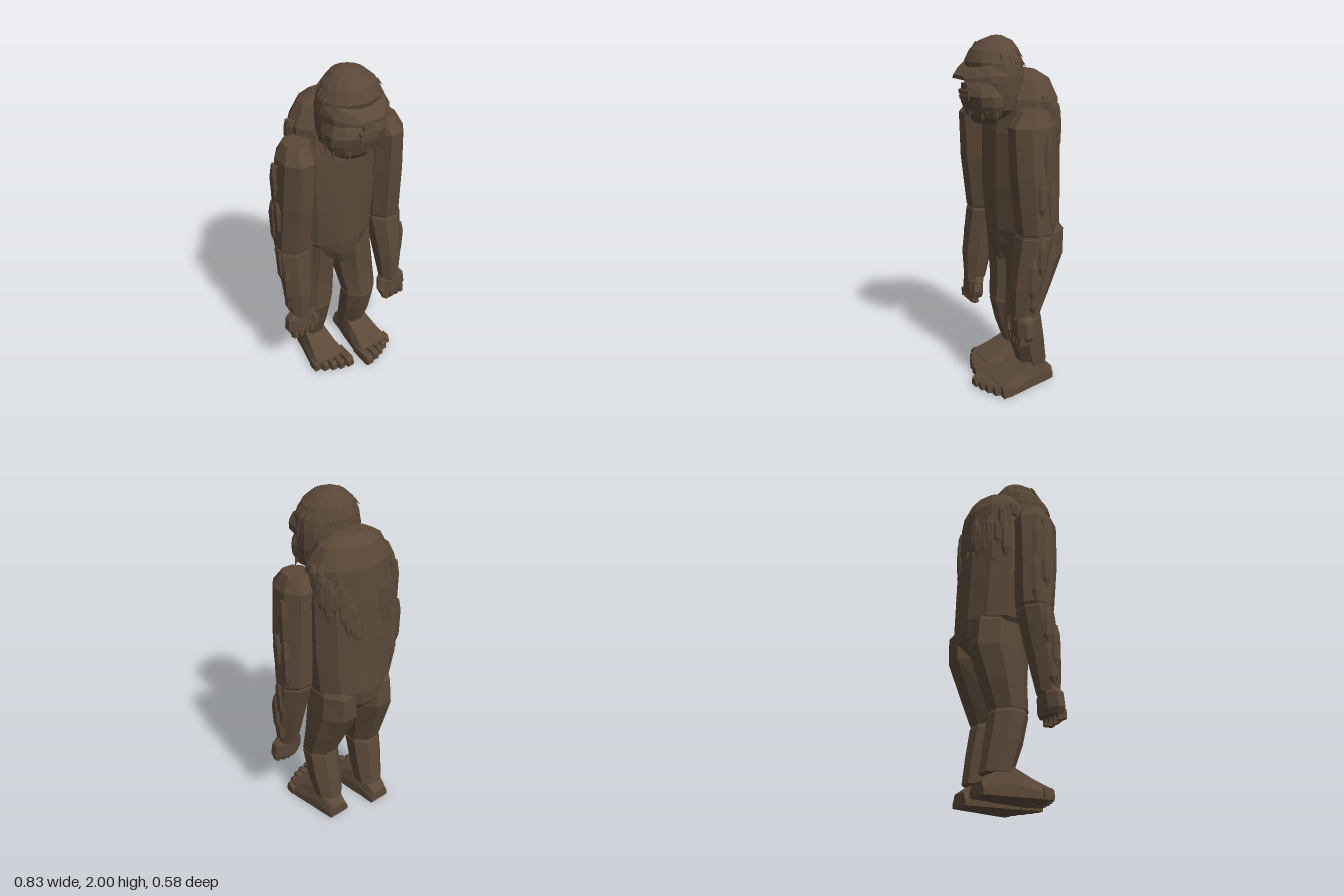
import * as THREE from 'three';

const fur = new THREE.MeshStandardMaterial({ color: 0x5a4838 });
fur.name = 'brown fur';

// Flat-faced skin over a list of closed point rings, capped at both ends
function loft(rings) {
  const tris = [], n = rings[0].length;
  const mid = r => r.reduce((a, p) => a.add(p), new THREE.Vector3()).divideScalar(n);
  const first = mid(rings[0]), last = mid(rings[rings.length - 1]);
  for (let j = 0; j < n; j++) {
    const k = (j + 1) % n;
    for (let i = 0; i < rings.length - 1; i++) {
      const a = rings[i], b = rings[i + 1];
      tris.push([a[j], b[j], b[k]], [a[j], b[k], a[k]]);
    }
    tris.push([first, rings[0][j], rings[0][k]]);
    tris.push([last, rings[rings.length - 1][k], rings[rings.length - 1][j]]);
  }
  // Turn the faces outward whichever way the rings run
  const volume = tris.reduce((v, [a, b, c]) => v + a.dot(b.clone().cross(c)), 0);
  const pts = tris.flatMap(([a, b, c]) => (volume < 0 ? [a, c, b] : [a, b, c]));
  const g = new THREE.BufferGeometry().setFromPoints(pts);
  g.computeVertexNormals();
  return g;
}

// Upright limb from sections [y, centre x, centre z, half width, half depth]
function limb(sections, sides, s = 1, dz = () => 0) {
  const k = 1 / Math.cos(Math.PI / sides);
  return loft(sections.map(([y, cx, cz, rx, rz]) => Array.from({ length: sides }, (_, j) => {
    const a = ((j + 0.5) / sides) * Math.PI * 2;
    return new THREE.Vector3(s * (cx + k * rx * Math.sin(a)), y, cz + k * rz * Math.cos(a) + dz(y));
  })));
}

// Forward-running block from sections [z, centre x, bottom half width, top half width, bottom y, top y]
function block(sections, s = 1) {
  return loft(sections.map(([z, cx, wb, wt, y0, y1]) => [
    [-wb, y0], [wb, y0], [wb, y0 + (y1 - y0) * 0.4], [wt, y1], [-wt, y1], [-wb, y0 + (y1 - y0) * 0.4],
  ].map(([x, y]) => new THREE.Vector3(s * (cx + x), y, z))));
}

let seed = 7;
const rand = (a, b) => {
  seed = (seed * 16807) % 2147483647;
  return a + (b - a) * (seed / 2147483647);
};

export function createModel() {
  const model = new THREE.Group();
  const add = (name, geometry, parent = model) => {
    const m = new THREE.Mesh(geometry, fur);
    m.name = name;
    parent.add(m);
    return m;
  };
  const group = (name, parent = model) => {
    const g = new THREE.Group();
    g.name = name;
    parent.add(g);
    return g;
  };

  // Hunched trunk tapering to the crotch
  add('torso', limb([
    [1.82, 0, -0.085, 0.1, 0.06], [1.78, 0, -0.09, 0.175, 0.12], [1.68, 0, -0.08, 0.235, 0.172],
    [1.5, 0, -0.075, 0.255, 0.19], [1.2, 0, -0.078, 0.255, 0.197], [0.95, 0, -0.09, 0.24, 0.197],
    [0.86, 0, -0.09, 0.18, 0.185], [0.75, 0, -0.06, 0.04, 0.12],
  ], 12));
  add('neck', limb([[1.6, 0, -0.03, 0.15, 0.12], [1.78, 0, 0.02, 0.13, 0.1]], 10));

  // Head
  add('skull', limb([
    [1.58, 0, 0.11, 0.11, 0.08], [1.63, 0, 0.09, 0.165, 0.115], [1.71, 0, 0.08, 0.18, 0.13],
    [1.8, 0, 0.08, 0.178, 0.14], [1.87, 0, 0.09, 0.167, 0.147], [1.93, 0, 0.085, 0.135, 0.125],
    [1.975, 0, 0.075, 0.085, 0.085], [2.0, 0, 0.07, 0.025, 0.025],
  ], 16));
  add('brow', block([
    [0.1, 0, 0.183, 0.17, 1.77, 1.86], [0.2, 0, 0.165, 0.135, 1.775, 1.86],
    [0.25, 0, 0.125, 0.1, 1.78, 1.835], [0.295, 0, 0.07, 0.06, 1.785, 1.805],
  ]));
  add('muzzle', limb([
    [1.55, 0, 0.15, 0.085, 0.045], [1.59, 0, 0.15, 0.14, 0.08], [1.65, 0, 0.15, 0.168, 0.1],
    [1.7, 0, 0.15, 0.168, 0.115], [1.74, 0, 0.14, 0.15, 0.112], [1.785, 0, 0.12, 0.13, 0.1],
  ], 12));
  const box = (name, w, h, d, y, z) => add(name, new THREE.BoxGeometry(w, h, d)).position.set(0, y, z);
  box('nose', 0.065, 0.03, 0.05, 1.748, 0.24);
  box('upperLip', 0.11, 0.02, 0.03, 1.718, 0.256);
  box('lowerLip', 0.1, 0.018, 0.03, 1.688, 0.254);

  // Limbs; the left side steps forward a little
  for (const s of [1, -1]) {
    const side = s > 0 ? 'left' : 'right';
    const swing = y => (s > 0 ? 0 : -0.035 * Math.max(0, 1.4 - y));
    const back = s > 0 ? 0 : -0.06;

    add(side + 'UpperArm', limb([
      [1.64, 0.27, 0.01, 0.065, 0.07], [1.56, 0.28, 0.02, 0.092, 0.122], [1.3, 0.29, 0.017, 0.1, 0.116],
      [1.0, 0.302, 0.005, 0.098, 0.1], [0.95, 0.303, 0.01, 0.08, 0.08],
    ], 8, s, swing));
    add(side + 'Forearm', limb([
      [1.02, 0.302, 0.008, 0.08, 0.08], [0.97, 0.302, 0.01, 0.1, 0.098],
      [0.7, 0.312, 0.065, 0.08, 0.085], [0.52, 0.313, 0.09, 0.058, 0.06],
    ], 8, s, swing));

    // Hand with four curled fingers and a thumb
    const hand = group(side + 'Hand');
    add('palm', limb([
      [0.54, 0.315, 0.09, 0.06, 0.045], [0.51, 0.32, 0.095, 0.088, 0.05],
      [0.43, 0.325, 0.1, 0.092, 0.05], [0.4, 0.325, 0.1, 0.075, 0.042],
    ], 8, s, swing), hand);
    for (let i = 0; i < 4; i++) {
      const x = 0.268 + i * 0.037, end = 0.35 + Math.abs(i - 1.3) * 0.012;
      add('finger', limb([[0.43, x, 0.12, 0.019, 0.028], [0.38, x, 0.125, 0.019, 0.025],
        [end, x, 0.11, 0.013, 0.016]], 6, s, swing), hand);
    }
    add('thumb', limb([[0.51, 0.255, 0.1, 0.02, 0.023], [0.46, 0.232, 0.12, 0.02, 0.023],
      [0.41, 0.245, 0.135, 0.013, 0.015]], 6, s, swing), hand);

    // Bent leg
    const leg = group(side + 'Leg');
    leg.position.x = s > 0 ? 0 : 0.014;
    add('thigh', limb([
      [0.99, 0.13, -0.11, 0.08, 0.11], [0.93, 0.13, -0.105, 0.108, 0.16], [0.78, 0.128, -0.1, 0.12, 0.16],
      [0.6, 0.139, -0.055, 0.112, 0.122], [0.45, 0.147, -0.01, 0.1, 0.098],
    ], 8, s, y => back * Math.min(1, Math.max(0, (0.93 - y) / 0.5))), leg);
    add('shin', limb([
      [0.47, 0.147, -0.005, 0.085, 0.085], [0.43, 0.147, -0.01, 0.099, 0.1],
      [0.28, 0.147, -0.04, 0.094, 0.095], [0.12, 0.143, -0.08, 0.08, 0.08],
    ], 8, s, () => back), leg);

    // Broad foot and five toes
    const foot = group('foot', leg);
    foot.position.z = back;
    add('sole', block([
      [-0.19, 0.145, 0.065, 0.045, 0, 0.07], [-0.1, 0.15, 0.078, 0.06, 0, 0.13],
      [-0.03, 0.15, 0.09, 0.065, 0, 0.155], [0.08, 0.155, 0.108, 0.08, 0, 0.1],
      [0.18, 0.155, 0.12, 0.1, 0, 0.06],
    ], s), foot);
    for (let i = 0; i < 5; i++) {
      const w = i ? 0.021 : 0.028, x = i ? 0.072 + i * 0.046 : 0.062;
      const tip = 0.268 - i * i * 0.003 - i * 0.009;
      add('toe', block([[0.12, x, w, w * 0.8, 0.004, 0.055], [tip - 0.02, x, w, w * 0.85, 0.004, 0.06],
        [tip, x, w * 0.8, w * 0.6, 0.006, 0.05]], s), foot);
    }
  }

  // Long hanging fur clumps
  const clumps = group('furClumps');
  const clump = (x, y, z, w, h, yaw, tilt = 0) => {
    const c = add('furClump', limb([[-h, 0, 0, w * 0.3, w * 0.2], [-h * 0.6, 0, 0, w * 0.9, w * 0.6],
      [h * 0.5, 0, 0, w, w * 0.7], [h, 0, 0, w * 0.5, w * 0.4]], 6), clumps);
    c.position.set(x, y, z);
    c.rotation.set(tilt, yaw, 0, 'YXZ');
  };
  for (const s of [1, -1]) {
    // Outer arms: [x, y, z, half height]
    for (const [x, y, z, h] of [
      [0.375, 1.36, -0.02, 0.16], [0.385, 1.14, -0.04, 0.14], [0.39, 1.2, 0.02, 0.1],
      [0.392, 0.88, 0.02, 0.11], [0.39, 0.76, 0.07, 0.12], [0.378, 0.64, 0.06, 0.08],
    ]) clump(s * x, y, z + (s < 0 ? -0.015 : 0), 0.03, h, s * 1.57);
    // Shoulder blades and flanks
    for (let i = 0; i < 9; i++) {
      const a = 0.3 + i * 0.11, y = rand(1.35, 1.6);
      clump(s * 0.25 * Math.sin(a), y, -0.075 - 0.186 * Math.cos(a),
        rand(0.02, 0.03), rand(0.07, 0.12), -s * a, 0.05);
    }
    clump(s * 0.23, 1.64, -0.09, 0.033, 0.06, s);
  }

  // Small pointed tufts set along a surface direction
  const tufts = group('furTufts');
  const tuft = (pos, dir, r, h) => {
    const t = add('furTuft', new THREE.ConeGeometry(r, h, 4).toNonIndexed(), tufts);
    t.geometry.computeVertexNormals();
    t.position.copy(pos);
    t.quaternion.setFromUnitVectors(new THREE.Vector3(0, 1, 0), dir.normalize());
  };
  const v = (x, y, z) => new THREE.Vector3(x, y, z);
  for (let i = 0; i < 24; i++) {
    const a = i * 2.4, y = rand(1.84, 1.95), r = Math.sqrt(1 - ((y - 1.81) / 0.19) ** 2);
    tuft(v(Math.sin(a) * r * 0.18, y, 0.085 + Math.cos(a) * r * 0.15),
      v(Math.sin(a) * 0.6, -0.6, Math.cos(a) * 0.6), 0.011, 0.05);
  }
  // Beard and cheeks
  for (let i = 0; i < 18; i++) {
    const a = -1.9 + i * 0.22;
    tuft(v(Math.sin(a) * 0.16, 1.6 + (i % 3) * 0.035, 0.14 + Math.cos(a) * 0.1),
      v(Math.sin(a) * 0.3, -1, Math.cos(a) * 0.3), 0.012, 0.055);
  }
  // Back and arms
  for (let i = 0; i < 16; i++) {
    const a = rand(-1, 1);
    tuft(v(0.255 * Math.sin(a), rand(1.05, 1.6), -0.078 - 0.195 * Math.cos(a)),
      v(Math.sin(a) * 0.3, -1, -Math.cos(a) * 0.3), 0.013, 0.06);
    const s = i % 2 ? 1 : -1, y = 1.5 - i * 0.06;
    tuft(v(s * 0.39, y, y < 1 ? 0.05 : 0), v(s * 0.3, -1, 0), 0.012, 0.06);
  }
  return model;
}
